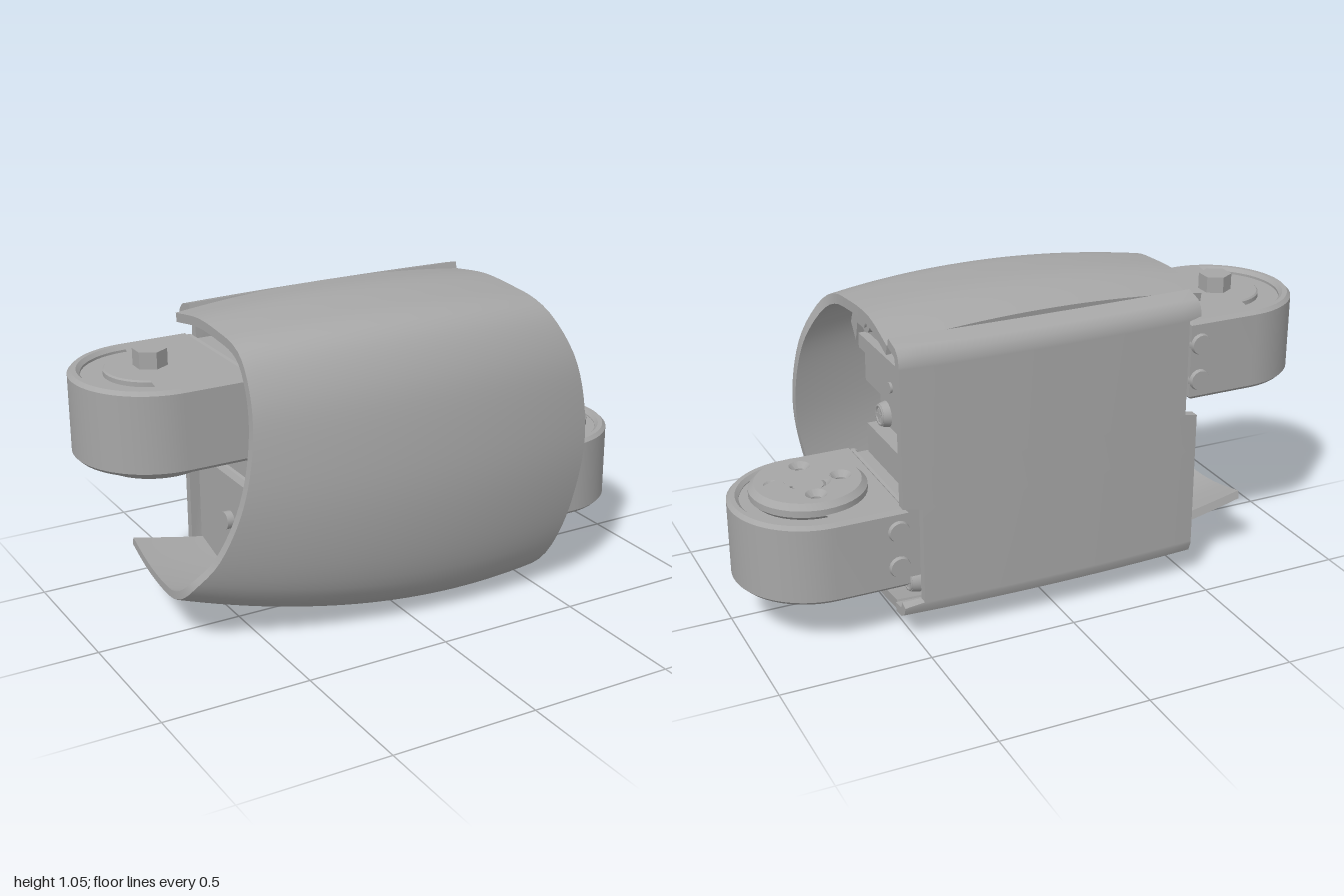
import * as THREE from 'three';
import { toCreasedNormals } from 'three/addons/utils/BufferGeometryUtils.js';

const grey = new THREE.MeshStandardMaterial({ color: 0xa6a6a6 });
grey.name = 'plain grey';
const MID_Y = 0.5375, AX = -0.74, AZ = -0.075;

function add(parent, name, geo, x = 0, y = 0, z = 0) {
  const m = new THREE.Mesh(geo, grey);
  m.name = name;
  m.position.set(x, y, z);
  parent.add(m);
  return m;
}

function box(parent, name, x0, x1, y0, y1, z0, z1) {
  return add(parent, name, new THREE.BoxGeometry(x1 - x0, y1 - y0, z1 - z0), (x0 + x1) / 2, (y0 + y1) / 2, (z0 + z1) / 2);
}

// Curved wall: an open (z, y) section, thickened inward and carried along x by a rule
function wall(points, thick, steps, place) {
  const n = points.length;
  const inner = points.map(([z, y], i) => {
    const a = points[Math.max(i - 1, 0)], b = points[Math.min(i + 1, n - 1)];
    const dz = b[0] - a[0], dy = b[1] - a[1], l = Math.hypot(dz, dy) || 1;
    return [z + dy / l * thick, y - dz / l * thick];
  });
  const ring = [...points, ...inner.reverse()], m = ring.length;
  const pos = [], idx = [];
  for (let j = 0; j <= steps; j++)
    ring.forEach(([z, y], k) => {
      const [cz, cy] = points[k < n ? k : m - 1 - k];
      pos.push(...place(z, y, j / steps, cz, cy));
    });
  for (let j = 0; j < steps; j++)
    for (let k = 0; k < m; k++) {
      const a = j * m + k, b = j * m + (k + 1) % m;
      idx.push(a, b, a + m, b, b + m, a + m);
    }
  const e = steps * m;
  for (let k = 0; k < n - 1; k++) {
    const o = k, p = k + 1, q = m - 2 - k, r = m - 1 - k;
    idx.push(e + o, e + p, e + q, e + o, e + q, e + r, o, q, p, o, r, q);
  }
  const g = new THREE.BufferGeometry();
  g.setAttribute('position', new THREE.Float32BufferAttribute(pos, 3));
  g.setIndex(idx);
  return toCreasedNormals(g, 0.6);
}

// Flat (x, -z) outline raised from y0 to y1
function slab(shape, y0, y1, bevel = 0) {
  const g = new THREE.ExtrudeGeometry(shape, {
    depth: y1 - y0 - 2 * bevel, curveSegments: 20, bevelEnabled: bevel > 0,
    bevelSize: bevel, bevelThickness: bevel, bevelOffset: -bevel, bevelSegments: 1,
  });
  g.rotateX(-Math.PI / 2);
  g.translate(0, y0 + bevel, 0);
  return toCreasedNormals(g, 0.45);
}

// Half-round arm outline with its straight sides running to xEnd
function armShape(r, xEnd) {
  const s = new THREE.Shape();
  s.moveTo(xEnd, -AZ + r);
  s.lineTo(AX, -AZ + r);
  s.absarc(AX, -AZ, r, Math.PI / 2, Math.PI * 1.5, false);
  s.lineTo(xEnd, -AZ - r);
  s.closePath();
  return s;
}

// Flat (z, y) outline with its +x face at x
function bulkhead(parent, name, pts, x, depth) {
  const g = new THREE.ExtrudeGeometry(new THREE.Shape(pts.map(p => new THREE.Vector2(...p))), { depth, bevelEnabled: false });
  g.rotateY(-Math.PI / 2);
  add(parent, name, g, x);
}

// Cross-head screw facing +x
function screw(parent, x, y, z, r = 0.046) {
  const s = new THREE.Group();
  s.name = 'screw';
  const head = add(s, 'screwHead', new THREE.CylinderGeometry(r * 0.85, r, 0.03, 20));
  head.rotation.z = -Math.PI / 2;
  const rim = add(s, 'screwRim', new THREE.TorusGeometry(r * 0.7, 0.005, 6, 20), 0.015);
  rim.rotation.y = Math.PI / 2;
  for (const a of [0.2, 0.2 + Math.PI / 2])
    add(s, 'screwCross', new THREE.BoxGeometry(0.008, 0.045, 0.012), 0.016).rotation.x = a;
  s.position.set(x, y, z);
  parent.add(s);
}

// One servo: rounded arm at -x, long body reaching the other end
function servo() {
  const g = new THREE.Group();
  const rim = armShape(0.26, -0.5);
  const hole = armShape(0.22, -0.51);
  rim.holes.push(new THREE.Path(hole.getPoints(20).reverse()));
  add(g, 'armWall', slab(rim, 0.63, 0.905, 0.012));
  add(g, 'armCore', slab(armShape(0.235, -0.42), 0.645, 0.885));
  // Raised cap and pivot nut
  const cap = armShape(0.15, -0.6);
  add(g, 'armCap', slab(cap, 0.88, 0.905, 0.005));
  add(g, 'pivotNut', toCreasedNormals(new THREE.CylinderGeometry(0.055, 0.055, 0.07, 6), 0.3), AX, 0.925, AZ - 0.005);
  // Output horn with screw holes
  const disc = new THREE.Shape().absarc(AX, -AZ, 0.19, 0, Math.PI * 2);
  const holes = [[0, 0, 0.058]];
  for (let i = 0; i < 4; i++) {
    const a = i * Math.PI / 2 + 0.08;
    holes.push([Math.cos(a) * 0.108, Math.sin(a) * 0.108, 0.017]);
  }
  for (const [dx, dy, r] of holes)
    disc.holes.push(new THREE.Path().absarc(AX + dx, -AZ + dy, r, 0, Math.PI * 2, true));
  add(g, 'outputHorn', slab(disc, 0.592, 0.65, 0.018));
  add(g, 'hornHub', new THREE.CylinderGeometry(0.05, 0.05, 0.03, 20), AX, 0.625, AZ);
  // Mounting bolts on the arm sides
  for (const y of [0.7, 0.825]) {
    add(g, 'backBolt', new THREE.CylinderGeometry(0.033, 0.038, 0.02, 18), -0.535, y, -0.338).rotation.x = -Math.PI / 2;
    add(g, 'frontBoltShank', new THREE.CylinderGeometry(0.02, 0.02, 0.06, 14), -0.48, y, 0.19).rotation.x = Math.PI / 2;
    add(g, 'frontBoltHead', new THREE.CylinderGeometry(0.036, 0.036, 0.018, 18), -0.48, y, 0.226).rotation.x = Math.PI / 2;
  }
  // Body with a stepped, sloping far end
  const side = [[-0.45, 0.54], [0.4, 0.54], [0.4, 0.64], [0.45, 0.69], [0.45, 0.81], [0.47, 0.81], [0.47, 0.86], [-0.45, 0.86]];
  const body = new THREE.ExtrudeGeometry(new THREE.Shape(side.map(p => new THREE.Vector2(...p))), { depth: 0.45, bevelEnabled: false });
  add(g, 'servoBody', body, 0, 0, -0.3);
  box(g, 'servoTopBlock', -0.4, 0.44, 0.85, 0.97, -0.3, 0.02);
  screw(g, 0.45, 0.92, -0.25);
  add(g, 'centrePin', new THREE.CylinderGeometry(0.018, 0.018, 0.012, 16), 0.452, 0.75, -0.08).rotation.z = Math.PI / 2;
  return g;
}

export function createModel() {
  const model = new THREE.Group();
  model.name = 'robotJoint';

  // Barrel-shaped front cover, open at the back and both ends
  const curve = new THREE.SplineCurve([
    [-0.3, 1.02], [-0.1, 1.05], [0.08, 1.045], [0.2, 1.03], [0.28, 0.985], [0.345, 0.88], [0.38, 0.75], [0.4, 0.54],
    [0.39, 0.36], [0.355, 0.19], [0.3, 0.08], [0.2, 0.012], [0.08, 0.0], [-0.1, 0.02], [-0.3, 0.07],
  ].map(p => new THREE.Vector2(...p)));
  const section = curve.getSpacedPoints(56).map(p => [p.x, p.y]);
  const ends = pts => new THREE.SplineCurve(pts.map(p => new THREE.Vector2(...p)));
  const leftEnd = ends([[-0.755, 0], [-0.735, 0.1], [-0.67, 0.24], [-0.605, 0.46], [-0.565, 0.7], [-0.55, 1]]);
  const rightEnd = ends([[0.5, 0], [0.545, 0.1], [0.6, 0.28], [0.642, 0.55], [0.615, 0.8], [0.53, 1]]);
  add(model, 'frontCover', wall(section, 0.035, 28, (z, y, t, cz, cy) => {
    const v = Math.min(Math.max(cy / 1.05, 0), 1);
    const x = THREE.MathUtils.lerp(endAt(leftEnd, v), endAt(rightEnd, v), t);
    const low = 0.135 * (x - 0.3) ** 2, high = 1.05 - 0.12 * x * x, front = 0.4 - 0.2 * (x - 0.17) ** 2;
    return [x, low + y / 1.05 * (high - low), -0.3 + (z + 0.3) / 0.7 * (front + 0.3)];
  }));

  // Back cover: shallow channel, notched around each arm
  const back = [[-0.305, 0.075], [-0.35, 0.08], [-0.375, 0.095], [-0.387, 0.125], [-0.387, 0.135], [-0.387, 0.465], [-0.387, 0.475],
    [-0.387, 0.6], [-0.387, 0.61], [-0.387, 0.935], [-0.387, 0.945], [-0.38, 0.975], [-0.36, 0.995], [-0.305, 1.01]];
  add(model, 'backCover', wall(back, 0.03, 16, (z, y, t, cz, cy) => {
    const x0 = cy > 0.605 && cy < 0.94 ? -0.455 : -0.5;
    const x1 = cy > 0.13 && cy < 0.47 ? 0.475 : 0.54;
    const x = THREE.MathUtils.lerp(x0, x1, t);
    return [x, y, z - 0.018 * Math.max(0, 1 - (x / 0.54) ** 2) * (z < -0.33 ? 1 : 0.5)];
  }));

  // Two identical servos, the second turned half a turn
  [['upperServo', 0], ['lowerServo', Math.PI]].forEach(([name, turn]) => {
    const pivot = new THREE.Group();
    pivot.name = name;
    pivot.position.y = MID_Y;
    pivot.rotation.z = turn;
    const s = servo();
    s.position.y = -MID_Y;
    pivot.add(s);
    model.add(pivot);
  });

  // Mounting screws beside the lower arm
  for (const y of [0.145, 0.49, 0.58])
    for (const z of [0.095, -0.25]) screw(model, y > 0.2 ? 0.41 : 0.46, y, z);

  // Inner brackets joining servos and cover
  bulkhead(model, 'upperBracket', [[0.02, 0.86], [0.24, 0.86], [0.26, 0.79], [0.315, 0.86], [0.26, 0.96], [0.19, 1.0], [-0.28, 1.0], [-0.28, 0.97], [0.02, 0.97]], 0.44, 0.05);
  bulkhead(model, 'lowerBracket', [[-0.3, 0.1], [0.1, 0.1], [0.225, 0.16], [0.285, 0.48], [-0.3, 0.48]], -0.46, 0.03);
  add(model, 'hexBolt', new THREE.CylinderGeometry(0.04, 0.04, 0.03, 20), 0.45, 0.92, 0.095).rotation.z = Math.PI / 2;
  add(model, 'hexBoltHead', new THREE.CylinderGeometry(0.022, 0.022, 0.01, 6), 0.468, 0.92, 0.095).rotation.z = Math.PI / 2;
  add(model, 'bracketBolt', new THREE.CylinderGeometry(0.03, 0.03, 0.03, 18), -0.5, 0.33, -0.06).rotation.z = Math.PI / 2;
  return model;
}

// x of an end curve, stored as (x, v), at height fraction v
function endAt(curve, v) {
  let lo = 0, hi = 1;
  for (let i = 0; i < 24; i++) {
    const mid = (lo + hi) / 2;
    if (curve.getPoint(mid).y < v) lo = mid; else hi = mid;
  }
  return curve.getPoint(lo).x;
}
